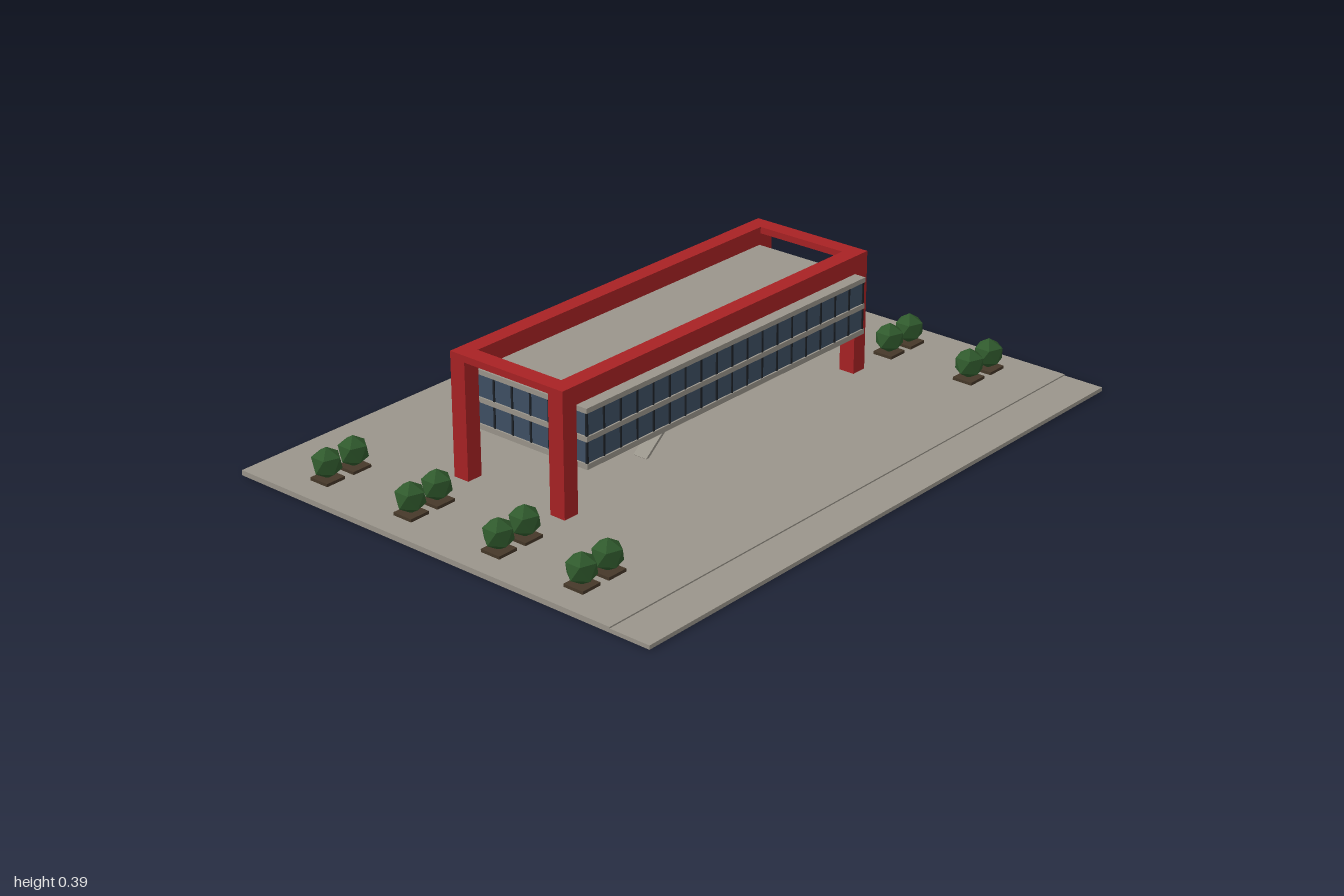
import * as THREE from 'three';

const mat = (name, color, extra = {}) => {
  const m = new THREE.MeshStandardMaterial({ color, ...extra });
  m.name = name;
  return m;
};

export function createModel() {
  const concrete = mat('concrete', 0x9a958b);
  const red = mat('red steel', 0xa82224);
  const glass = mat('blue glass', 0x3e4f63);
  const dark = mat('dark mullion', 0x1d2228);
  const leaf = mat('leaf green', 0x305a2d, { flatShading: true });
  const soil = mat('soil brown', 0x463829);

  const model = new THREE.Group();
  model.name = 'pavilion';

  // box given by its limits on each axis
  const box = (parent, name, material, [x0, x1], [y0, y1], [z0, z1]) => {
    const mesh = new THREE.Mesh(new THREE.BoxGeometry(x1 - x0, y1 - y0, z1 - z0), material);
    mesh.position.set((x0 + x1) / 2, (y0 + y1) / 2, (z0 + z1) / 2);
    mesh.name = name;
    parent.add(mesh);
    return mesh;
  };
  const group = (name) => {
    const g = new THREE.Group();
    g.name = name;
    model.add(g);
    return g;
  };

  // plaza with a slightly lower strip along the front
  const TOP = 0.016;
  box(model, 'plaza', concrete, [-1, 1], [0, TOP], [-0.74, 0.61]);
  box(model, 'frontStrip', concrete, [-1, 1], [0, 0.012], [0.61, 0.74]);

  // raised hall: three floor slabs with glazing between them
  const hall = group('hall');
  const X = 0.597, ZB = -0.306, ZF = 0.172, IN = 0.005;
  for (const [name, y0, y1] of [['floorSlab', 0.155, 0.171], ['middleSlab', 0.235, 0.25], ['roofSlab', 0.317, 0.332]])
    box(hall, name, concrete, [-X, X], [y0, y1], [ZB, ZF]);
  const gx = X - IN, gb = ZB + IN, gf = ZF - IN;
  for (const [y0, y1] of [[0.171, 0.235], [0.25, 0.317]]) {
    box(hall, 'glazing', glass, [-gx, gx], [y0, y1], [gb, gf]);
    // mullions on the long sides
    for (let i = 0; i <= 18; i++) {
      const x = -gx + (2 * gx * i) / 18;
      for (const z of [gb, gf])
        box(hall, 'mullion', dark, [x - 0.003, x + 0.003], [y0, y1], [z - 0.003, z + 0.003]);
    }
    // mullions on the short ends
    for (let i = 1; i < 7; i++) {
      const z = gb + ((gf - gb) * i) / 7;
      for (const x of [-gx, gx])
        box(hall, 'mullion', dark, [x - 0.003, x + 0.003], [y0, y1], [z - 0.003, z + 0.003]);
    }
  }

  // central core and sloping stair under the hall
  box(model, 'core', concrete, [-0.063, 0.06], [TOP, 0.155], [-0.163, -0.096]);
  const dx = 0.172, dy = 0.138;
  const stair = new THREE.Mesh(new THREE.BoxGeometry(Math.hypot(dx, dy), 0.008, 0.047), concrete);
  stair.name = 'stair';
  stair.position.set(-0.144, 0.083, 0.032);
  stair.rotation.z = Math.atan2(dy, dx);
  model.add(stair);

  // red frame: four legs, deep long beams and thin end beams
  const frame = group('frame');
  const T = 0.052, FX = 0.65, FB = -0.271, FF = 0.137, FY = 0.389;
  for (const z of [[FB, FB + T], [FF - T, FF]]) {
    box(frame, 'longBeam', red, [-FX, FX], [0.334, FY], z);
    for (const x of [[-FX, -FX + T], [FX - T, FX]]) box(frame, 'leg', red, x, [TOP, 0.334], z);
  }
  for (const x of [[-FX, -FX + T], [FX - T, FX]])
    box(frame, 'endBeam', red, x, [0.369, FY], [FB + T, FF - T]);

  // round shrubs in pairs on soil plates, one vertex pointing up
  const shrubs = group('shrubs');
  const crown = new THREE.IcosahedronGeometry(0.047, 0);
  crown.rotateZ(-Math.atan(2 / (1 + Math.sqrt(5))));
  for (const x of [-0.888, -0.79, 0.787, 0.885])
    for (const z of [-0.518, -0.196, 0.126, 0.416]) {
      box(shrubs, 'soilPlate', soil, [x - 0.033, x + 0.033], [TOP, 0.025], [z - 0.033, z + 0.033]);
      const shrub = new THREE.Mesh(crown, leaf);
      shrub.name = 'shrub';
      shrub.position.set(x, 0.068, z);
      shrubs.add(shrub);
    }

  return model;
}
